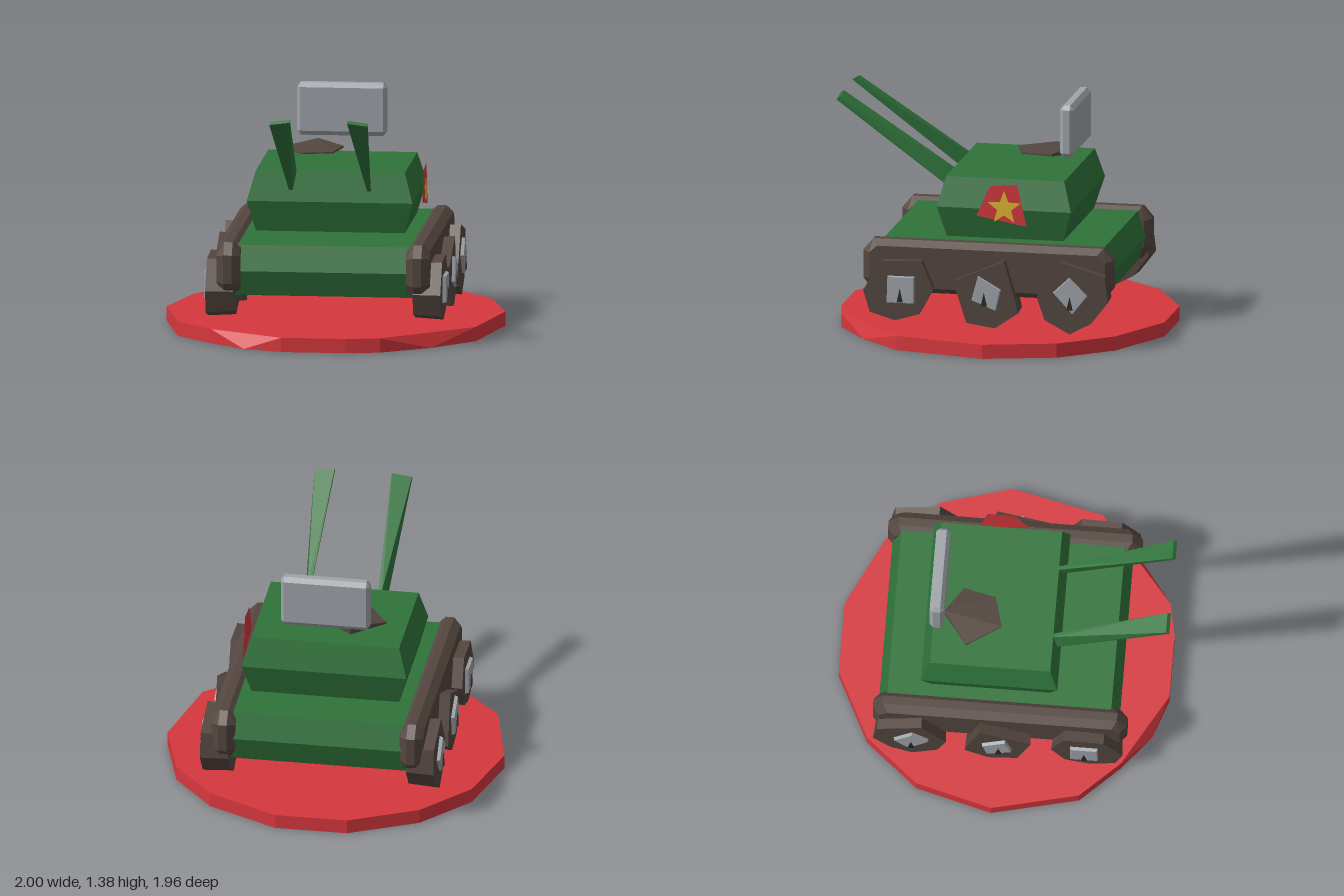
import * as THREE from 'three';
import { ConvexGeometry } from 'three/addons/geometries/ConvexGeometry.js';

const paint = (name, color, side = THREE.FrontSide) => {
  const m = new THREE.MeshStandardMaterial({ color, side, flatShading: true });
  m.name = name;
  return m;
};

export function createModel() {
  const model = new THREE.Group();
  model.name = 'tank';
  const green = paint('armour green', 0x2f733a);
  const red = paint('red', 0xd5373d, THREE.DoubleSide);
  const brown = paint('track brown', 0x54463f);
  const grey = paint('metal grey', 0x9ea4a9);
  const yellow = paint('star yellow', 0xdcb62f, THREE.DoubleSide);
  const black = paint('axle dark', 0x2c2725);

  const add = (name, geometry, material, parent = model) => {
    const mesh = new THREE.Mesh(geometry, material);
    mesh.name = name;
    parent.add(mesh);
    return mesh;
  };
  // Faceted solid around a set of [x, y, z] corners
  const solid = (pts) => new ConvexGeometry(pts.map((p) => new THREE.Vector3(...p)));
  const rect = (y, x, z0, z1) => [[-x, y, z0], [x, y, z0], [x, y, z1], [-x, y, z1]];
  // Side outline of [z, y] points at a given x, scaled about its centre
  const sideRing = (x, outline, s = 1) => {
    const cz = outline.reduce((a, p) => a + p[0], 0) / outline.length;
    const cy = outline.reduce((a, p) => a + p[1], 0) / outline.length;
    return outline.map(([z, y]) => [x, cy + (y - cy) * s, cz + (z - cz) * s]);
  };

  // Uneven round base; a few corners are cut back along the top
  const rim = [[-0.22, -0.98], [0.21, -0.98], [0.63, -0.77], [0.88, -0.47], [1, -0.05], [0.88, 0.49],
    [0.64, 0.74], [0.36, 0.93], [0.16, 0.97], [-0.22, 0.97], [-0.45, 0.89], [-0.66, 0.72],
    [-0.88, 0.49], [-1, -0.02], [-0.88, -0.47], [-0.62, -0.78]];
  const cut = [6, 10];
  const base = [];
  rim.forEach(([x, z], i) => {
    base.push([x, 0, z]);
    if (!cut.includes(i)) base.push([x, 0.085, z]);
  });
  add('base', solid(base), red);

  // Hull and turret, each widest at the middle
  add('hull', solid([...rect(0.28, 0.54, -0.67, 0.65), ...rect(0.43, 0.54, -0.72, 0.7),
    ...rect(0.58, 0.54, -0.67, 0.65)]), green);
  add('turret', solid([...rect(0.6, 0.44, -0.42, 0.28), ...rect(0.785, 0.49, -0.475, 0.33),
    ...rect(0.96, 0.44, -0.425, 0.285)]), green);

  // Floating plate with chamfered edges
  const plate = [];
  for (const [x, y, z] of [[0.265, 0.13, 0.02], [0.245, 0.157, 0.02], [0.245, 0.13, 0.042]])
    for (const a of [-x, x]) for (const b of [-y, y]) for (const c of [-z, z])
      plate.push([a, 1.217 + b, -0.4 + c]);
  add('rearPlate', solid(plate), grey);

  // Hatch lid, thicker at the back
  const lid = [[-0.33, -0.22, 1.018], [-0.14, -0.365, 1.045], [0.02, -0.26, 1.02], [-0.02, -0.07, 1.015], [-0.2, -0.02, 1.015]];
  add('hatch', solid(lid.flatMap(([x, z, y]) => [[x, y, z], [x, z < -0.3 ? 0.995 : 1.007, z]])), brown);

  // Flag with star on the left side
  const shape = (pts) => new THREE.ShapeGeometry(new THREE.Shape(pts.map((p) => new THREE.Vector2(...p))));
  const sidePanel = (name, pts, x, mat) => {
    const panel = add(name, shape(pts.map(([z, y]) => [-z, y])), mat);
    panel.rotation.y = Math.PI / 2;
    panel.position.x = x;
  };
  sidePanel('flag', [[0.005, 0.93], [0.085, 0.75], [-0.215, 0.695], [-0.16, 0.945]], 0.522, red);
  const star = [];
  for (let i = 0; i < 10; i++) {
    const r = i % 2 ? 0.044 : 0.105;
    const a = Math.PI / 2 + (i * Math.PI) / 5;
    star.push([-0.082 - r * Math.cos(a), 0.803 + r * Math.sin(a)]);
  }
  sidePanel('star', star, 0.527, yellow);

  const track = [[0.75, 0.36], [0.75, 0.53], [0.69, 0.6], [-0.69, 0.6], [-0.75, 0.53], [-0.75, 0.36], [-0.69, 0.285], [0.69, 0.285]];
  const trackEdge = [[0.71, 0.37], [0.71, 0.52], [0.66, 0.565], [-0.66, 0.565], [-0.71, 0.52], [-0.71, 0.37], [-0.66, 0.32], [0.66, 0.32]];
  // Crooked wheels: outer outline and hub outline as [z, y], plus axle centre z
  const wheels = [
    { name: 'front', z: 0.505,
      rim: [[0.73, 0.31], [0.62, 0.49], [0.38, 0.5], [0.31, 0.33], [0.39, 0.18], [0.54, 0.135], [0.69, 0.18]],
      hub: [[0.585, 0.405], [0.42, 0.405], [0.42, 0.24], [0.59, 0.24]] },
    { name: 'middle', z: 0,
      rim: [[0.19, 0.39], [-0.115, 0.52], [-0.18, 0.3], [-0.2, 0.21], [-0.06, 0.115], [0.11, 0.14]],
      hub: [[0.04, 0.43], [-0.1, 0.35], [-0.07, 0.22], [0.08, 0.28]] },
    { name: 'rear', z: -0.515,
      rim: [[-0.31, 0.32], [-0.455, 0.53], [-0.72, 0.455], [-0.74, 0.3], [-0.64, 0.17], [-0.51, 0.1], [-0.36, 0.18]],
      hub: [[-0.41, 0.35], [-0.51, 0.445], [-0.62, 0.335], [-0.53, 0.22]] },
  ];

  for (const s of [1, -1]) {
    const side = new THREE.Group();
    side.name = s > 0 ? 'leftRunningGear' : 'rightRunningGear';
    model.add(side);
    const flip = (pts) => solid(pts.map(([x, y, z]) => [s * x, y, z]));

    // Track with a ridge all around the middle
    add('track', flip([...sideRing(0.49, trackEdge), ...sideRing(0.535, track),
      ...sideRing(0.585, track), ...sideRing(0.63, trackEdge)]), brown, side);

    for (const w of wheels) {
      add(w.name + 'Wheel', flip([...sideRing(0.53, w.rim, 0.94), ...sideRing(0.695, w.rim)]), brown, side);
      add(w.name + 'Hub', flip([...sideRing(0.69, w.hub), ...sideRing(0.715, w.hub, 0.93)]), grey, side);
      const pin = [[w.z, 0.33], [w.z + 0.018, 0.25], [w.z - 0.018, 0.25]];
      add(w.name + 'Axle', flip([...sideRing(0.714, pin), ...sideRing(0.722, pin)]), black, side);
    }

    // Gun barrel: narrow upright root, flaring sideways at the muzzle
    add(s > 0 ? 'leftBarrel' : 'rightBarrel', flip([
      [0.22, 0.85, 0.31], [0.242, 0.85, 0.31], [0.2, 0.96, 0.285], [0.222, 0.96, 0.285],
      [0.17, 1.37, 0.975], [0.29, 1.355, 0.975], [0.17, 1.385, 0.955], [0.29, 1.37, 0.955]]), green);
  }
  return model;
}
